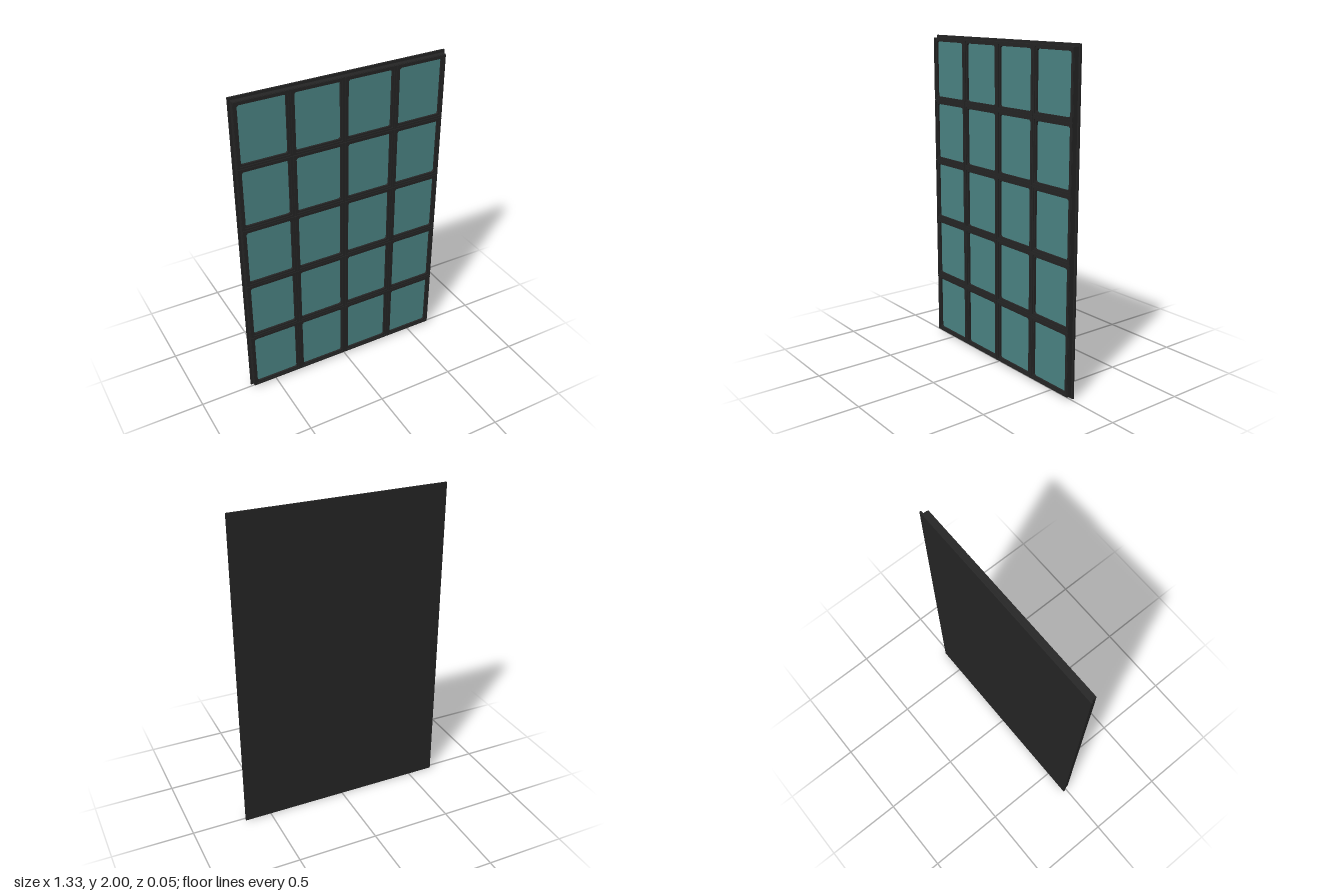
import * as THREE from 'three';

const COLS = 4, ROWS = 5;
const CELL_W = 0.327, CELL_H = 0.394;

// Rectangle outline with cut corners
function cutRect(target, w, h, c) {
  const x = w / 2, y = h / 2;
  target.moveTo(-x + c, -y);
  [[x - c, -y], [x, -y + c], [x, y - c], [x - c, y], [-x + c, y], [-x, y - c], [-x, -y + c]]
    .forEach(([px, py]) => target.lineTo(px, py));
  target.closePath();
  return target;
}

// Flat ring between an outer rectangle and a cut-corner opening
function ring(w, h, holeW, holeH, cut, depth) {
  const shape = cutRect(new THREE.Shape(), w, h, 0.001);
  shape.holes.push(cutRect(new THREE.Path(), holeW, holeH, cut));
  return new THREE.ExtrudeGeometry(shape, { depth, bevelEnabled: false });
}

export function createModel() {
  const group = new THREE.Group();
  const frameMat = new THREE.MeshStandardMaterial({ color: 0x242424 });
  frameMat.name = 'dark frame';
  const glassMat = new THREE.MeshStandardMaterial({ color: 0x4a8282 });
  glassMat.name = 'teal glass';

  const add = (name, geometry, material, x, y, z, parent = group) => {
    const mesh = new THREE.Mesh(geometry, material);
    mesh.name = name;
    mesh.position.set(x, y, z);
    parent.add(mesh);
  };

  // Backing sheet and the slab the cells sit on
  add('backPanel', new THREE.BoxGeometry(1.332, 2, 0.011), frameMat, 0, 1, -0.0175);
  add('baseSlab', new THREE.BoxGeometry(COLS * CELL_W, ROWS * CELL_H, 0.012), frameMat, 0, 1, -0.006);

  // Outer rim, stepped inner lip and recessed pane of each cell
  const rim = ring(CELL_W - 0.003, CELL_H - 0.003, 0.299, 0.368, 0.004, 0.023);
  const lip = ring(0.301, 0.37, 0.278, 0.347, 0.009, 0.017);
  const pane = new THREE.BoxGeometry(0.29, 0.359, 0.004);

  for (let r = 0; r < ROWS; r++) {
    for (let c = 0; c < COLS; c++) {
      const cell = new THREE.Group();
      cell.name = 'windowCell';
      cell.position.set((c - (COLS - 1) / 2) * CELL_W, 1 + (r - (ROWS - 1) / 2) * CELL_H, 0);
      add('cellRim', rim, frameMat, 0, 0, 0, cell);
      add('cellLip', lip, frameMat, 0, 0, 0, cell);
      add('pane', pane, glassMat, 0, 0, 0.002, cell);
      group.add(cell);
    }
  }

  // Thin strips filling the joints between cells
  for (let c = 0; c <= COLS; c++) {
    const x = (c - COLS / 2) * CELL_W * (c % COLS ? 1 : 0.9985);
    add('verticalJoint', new THREE.BoxGeometry(0.003, ROWS * CELL_H, 0.018), frameMat, x, 1, 0.009);
  }
  for (let r = 0; r <= ROWS; r++) {
    const y = 1 + (r - ROWS / 2) * CELL_H * (r % ROWS ? 1 : 0.9985);
    add('horizontalJoint', new THREE.BoxGeometry(COLS * CELL_W, 0.003, 0.018), frameMat, 0, y, 0.009);
  }
  return group;
}
